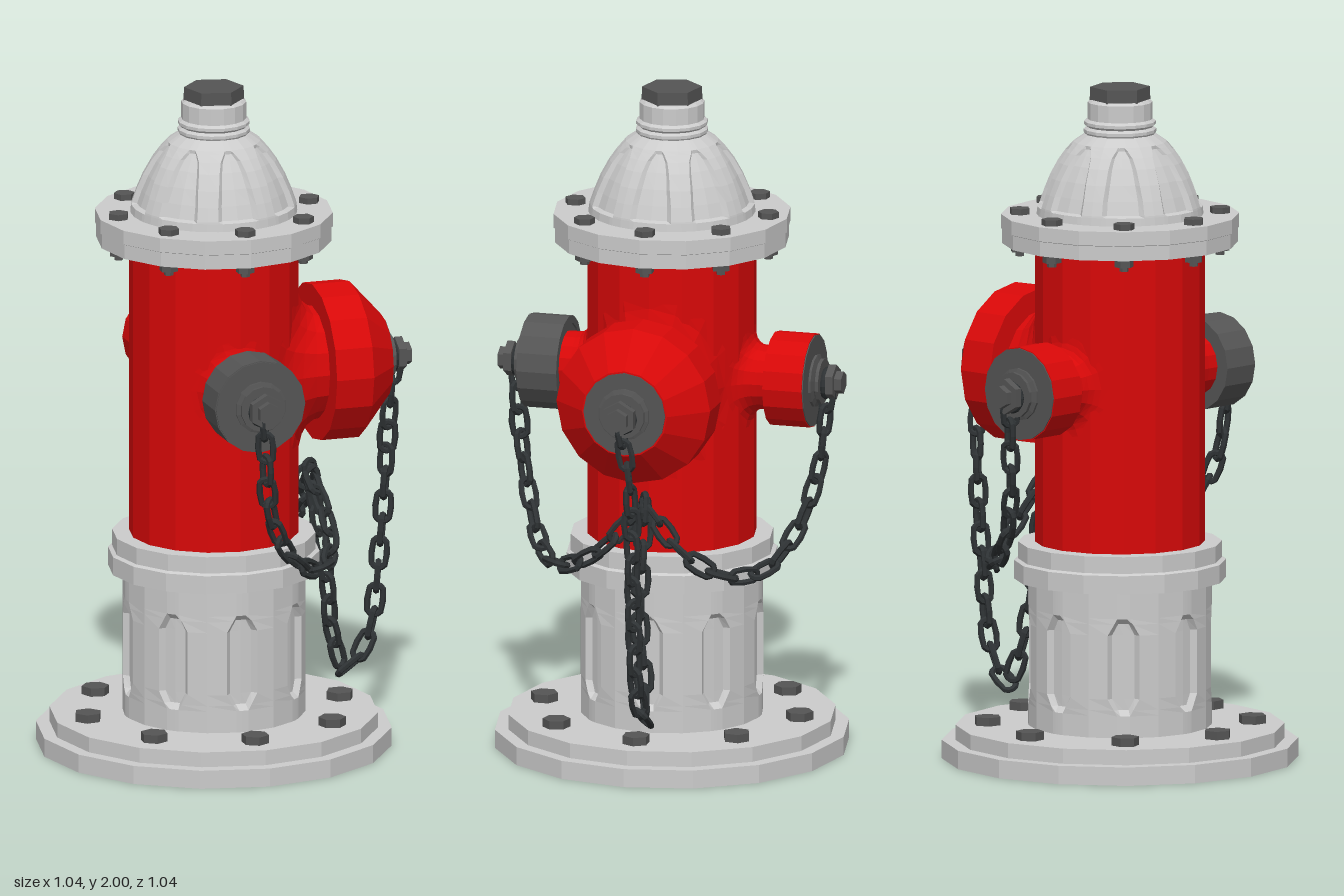
import * as THREE from 'three';
import { ParametricGeometry } from 'three/addons/geometries/ParametricGeometry.js';

const mat = (color, side = THREE.FrontSide) =>
  new THREE.MeshStandardMaterial({ color, flatShading: true, side });
const GREY = mat(0xcccccc), GREY_OPEN = mat(0xcccccc, THREE.DoubleSide);
const RED = mat(0xd80808), IRON = mat(0x555555), CHAIN = mat(0x2e3234);

function add(parent, name, geometry, material, x = 0, y = 0, z = 0) {
  const mesh = new THREE.Mesh(geometry, material);
  mesh.name = name;
  mesh.position.set(x, y, z);
  parent.add(mesh);
  return mesh;
}

// Turned part from [radius, height] points, listed bottom to top
const turned = (points, sides = 16) =>
  new THREE.LatheGeometry(points.map(([r, y]) => new THREE.Vector2(r, y)), sides);

// Round wall with eight sunken panels.
// Rows: [y, radius, panel rim half angle, panel floor half angle, depth], angles in degrees
function panelledWall(rows) {
  const pos = [], index = [], cols = 48;
  for (const [y, r, rim, floor, depth] of rows) {
    for (let i = 0; i <= cols; i++) {
      const k = i % 6;
      const offset = [-22.5, -rim, -floor, 0, floor, rim][k];
      const a = THREE.MathUtils.degToRad(Math.floor(i / 6) * 45 + offset);
      const rad = k >= 2 && k <= 4 ? r - depth : r;
      pos.push(rad * Math.sin(a), y, rad * Math.cos(a));
    }
  }
  for (let j = 0; j < rows.length - 1; j++) {
    for (let i = 0; i < cols; i++) {
      const a = j * (cols + 1) + i, d = a + cols + 1;
      index.push(a, a + 1, d, a + 1, d + 1, d);
    }
  }
  const g = new THREE.BufferGeometry();
  g.setAttribute('position', new THREE.Float32BufferAttribute(pos, 3));
  g.setIndex(index);
  g.computeVertexNormals();
  return g;
}

// Base plate with a wide centre opening and eight small bolt holes
function drilledPlate(outer, inner, thickness) {
  const circle = (Type, r, n, cx = 0, cy = 0) => new Type(Array.from({ length: n }, (_, i) => {
    const a = i * 2 * Math.PI / n;
    return new THREE.Vector2(cx + r * Math.cos(a), cy + r * Math.sin(a));
  }));
  const shape = circle(THREE.Shape, outer, 16);
  shape.holes.push(circle(THREE.Path, inner, 16));
  for (let i = 0; i < 8; i++) {
    const a = i * Math.PI / 4;
    shape.holes.push(circle(THREE.Path, 0.018, 8, 0.39 * Math.cos(a), 0.39 * Math.sin(a)));
  }
  return new THREE.ExtrudeGeometry(shape, { depth: thickness, bevelEnabled: false }).rotateX(-Math.PI / 2);
}

// Ring of eight hexagonal bolts
function boltRing(parent, name, ringRadius, size, y, height) {
  const geo = new THREE.CylinderGeometry(size, size, height, 6);
  for (let i = 0; i < 8; i++) {
    const a = i * Math.PI / 4;
    add(parent, name, geo, IRON, ringRadius * Math.sin(a), y + height / 2, ringRadius * Math.cos(a))
      .rotation.y = a * 1.7;
  }
}

// Saddle fillet from the round body (v = 0) out to a straight neck (v = 1)
function neckFillet(neckRadius, neckStart, spreadX, spreadY) {
  const onBody = x => Math.sqrt(0.247 ** 2 - x * x);
  return new ParametricGeometry((u, v, p) => {
    const c = Math.cos(u * 2 * Math.PI), s = Math.sin(u * 2 * Math.PI), w = 1 - v;
    const mixed = (a, b, d) => w * w * a + 2 * w * v * b + v * v * d;
    p.set(mixed(spreadX, neckRadius, neckRadius) * c, mixed(spreadY, neckRadius, neckRadius) * s,
      mixed(onBody(spreadX * c), onBody(neckRadius * c), neckStart));
  }, 16, 5);
}

// Side outlet along local +z: filleted neck, cap, dark end face, washers and hex nut
function outlet(name, angle, neckRadius, neckStart, neckEnd, spread, cap, capMaterial, capEnd, faceRadius) {
  const g = new THREE.Group();
  g.name = name;
  g.position.y = 1.135;
  g.rotation.y = angle;
  const along = (part, points, material, sides) =>
    add(g, part, turned(points, sides).rotateX(Math.PI / 2), material);
  add(g, 'neckFillet', neckFillet(neckRadius, neckStart, ...spread), RED);
  along('outletNeck', [[neckRadius, neckStart], [neckRadius, neckEnd]], RED);
  along('outletCap', cap, capMaterial);
  along('capFace', [[0, capEnd - 0.01], [faceRadius, capEnd - 0.01], [faceRadius, capEnd + 0.003],
    [0, capEnd + 0.003]], IRON);
  along('capWasher', [[0, capEnd - 0.02], [0.078, capEnd - 0.02], [0.078, capEnd + 0.01],
    [0.06, capEnd + 0.015], [0.068, capEnd + 0.02], [0.068, capEnd + 0.03], [0, capEnd + 0.03]], IRON, 14);
  along('capNutStem', [[0.03, capEnd], [0.03, capEnd + 0.055]], IRON, 10);
  along('capNut', [[0, capEnd + 0.045], [0.053, capEnd + 0.045], [0.053, capEnd + 0.068],
    [0.034, capEnd + 0.068], [0.034, capEnd + 0.09], [0, capEnd + 0.09]], IRON, 6);
  return g;
}

// One stretched chain link, long axis on y
function linkGeometry() {
  const g = new THREE.TorusGeometry(0.023, 0.0095, 6, 12);
  const p = g.attributes.position;
  for (let i = 0; i < p.count; i++) {
    const y = p.getY(i);
    if (Math.abs(y) > 1e-4) p.setY(i, y + Math.sign(y) * 0.022);
  }
  g.computeVertexNormals();
  return g;
}

// Chain of links along a smooth path, each turned a quarter from the last
function chain(name, points) {
  const g = new THREE.Group();
  g.name = name;
  const curve = new THREE.CatmullRomCurve3(points.map(p => new THREE.Vector3(...p)));
  const count = Math.round(curve.getLength() / 0.072);
  const geo = linkGeometry();
  const up = new THREE.Vector3(0, 1, 0);
  const roll = new THREE.Quaternion();
  for (let i = 0; i <= count; i++) {
    const link = add(g, 'chainLink', geo, CHAIN);
    link.position.copy(curve.getPointAt(i / count));
    link.quaternion.setFromUnitVectors(up, curve.getTangentAt(i / count));
    link.quaternion.multiply(roll.setFromAxisAngle(up, (i % 2) * Math.PI / 2 + 0.5));
  }
  return g;
}

export function createModel() {
  const root = new THREE.Group();
  root.name = 'fireHydrant';
  const h = new THREE.Group();
  h.name = 'hydrantAssembly';
  h.rotation.y = 0.645;
  root.add(h);

  // Open two-step base flange
  add(h, 'basePlate', drilledPlate(0.525, 0.269, 0.055), GREY);
  add(h, 'baseStep', turned([[0.269, 0.054], [0.485, 0.054], [0.485, 0.1], [0.269, 0.1]]), GREY);
  boltRing(h, 'baseBolt', 0.39, 0.041, 0.095, 0.03);

  // Lower barrel with hexagonal sunken panels
  add(h, 'lowerBarrel', panelledWall([
    [0, 0.27, 4, 2, 0], [0.165, 0.27, 4, 2, 0], [0.182, 0.27, 6, 3.5, 0.018],
    [0.215, 0.27, 10, 7.5, 0.018], [0.405, 0.27, 10, 7.5, 0.018], [0.438, 0.27, 6, 3.5, 0.018],
    [0.455, 0.27, 4, 2, 0], [0.545, 0.27, 4, 2, 0]]), GREY_OPEN);

  // Collar between barrel and body
  add(h, 'collar', turned([[0, 0.535], [0.312, 0.535], [0.312, 0.59], [0.3, 0.595],
    [0.3, 0.645], [0, 0.645]]), GREY);

  // Upper body
  add(h, 'body', new THREE.CylinderGeometry(0.25, 0.25, 0.92, 16), RED, 0, 1.09, 0);

  // Bonnet flange with bolts above and nuts below
  add(h, 'bonnetFlange', turned([[0, 1.535], [0.347, 1.535], [0.347, 1.578], [0.351, 1.58],
    [0.351, 1.622], [0, 1.622]]), GREY);
  boltRing(h, 'bonnetBolt', 0.295, 0.031, 1.615, 0.025);
  boltRing(h, 'bonnetNut', 0.295, 0.028, 1.51, 0.03);
  boltRing(h, 'bonnetBoltEnd', 0.295, 0.014, 1.497, 0.02);

  // Fluted dome: grooves narrow toward the top
  add(h, 'bonnetDome', panelledWall([
    [1.615, 0.247, 15, 12, 0], [1.645, 0.243, 15, 12, 0], [1.65, 0.242, 15, 12, 0.015],
    [1.69, 0.228, 15, 12, 0.015], [1.735, 0.209, 14, 11, 0.015], [1.78, 0.184, 13, 10, 0.014],
    [1.81, 0.162, 11, 8, 0.012], [1.828, 0.146, 7, 4, 0.009], [1.838, 0.137, 5, 3, 0],
    [1.862, 0.102, 5, 3, 0]]), GREY);

  // Neck rings and operating nut
  add(h, 'bonnetNeck', turned([[0.1, 1.855], [0.107, 1.866], [0.107, 1.875], [0.098, 1.882],
    [0.106, 1.889], [0.106, 1.898], [0.096, 1.905], [0.096, 1.955], [0.088, 1.962], [0, 1.962]]), GREY);
  add(h, 'operatingNut', new THREE.CylinderGeometry(0.088, 0.09, 0.045, 6), IRON, 0, 1.9775, 0)
    .rotation.y = 0.3;

  // Two small hose outlets with hollow-backed caps, and the large pump outlet
  const smallCap = [[0, 0.4], [0.118, 0.4], [0.118, 0.315], [0.14, 0.315], [0.14, 0.435], [0, 0.435]];
  const pumpCap = [[0, 0.305], [0.235, 0.305], [0.235, 0.42], [0.13, 0.515], [0, 0.515]];
  h.add(outlet('frontHoseOutlet', 0, 0.095, 0.285, 0.41, [0.14, 0.155], smallCap, IRON, 0.435, 0.137));
  h.add(outlet('rearHoseOutlet', Math.PI, 0.095, 0.285, 0.41, [0.14, 0.155], smallCap, RED, 0.435, 0.137));
  h.add(outlet('pumpOutlet', Math.PI / 2, 0.167, 0.315, 0.33, [0.22, 0.3], pumpCap, RED, 0.515, 0.125));
  for (const z of [0.33, -0.33]) {
    add(h, 'capGasket', new THREE.CylinderGeometry(0.118, 0.118, 0.02, 16).rotateX(Math.PI / 2), IRON, 0, 1.135, z);
  }

  // Chains from the three caps to a ring below the pump outlet
  for (const s of [1, -1]) {
    h.add(chain(s > 0 ? 'frontChain' : 'rearChain', [[0, 1.09, 0.475], [0.01, 0.97, 0.465],
      [0.02, 0.86, 0.45], [0.08, 0.7, 0.405], [0.185, 0.6, 0.335], [0.28, 0.6, 0.235],
      [0.315, 0.67, 0.12], [0.3, 0.78, 0.02]].map(([x, y, z]) => [x, y, z * s])));
  }
  h.add(chain('pumpChain', [[0.555, 1.09, 0], [0.55, 0.93, -0.025], [0.525, 0.55, -0.03],
    [0.485, 0.27, -0.03], [0.42, 0.185, -0.035], [0.375, 0.29, -0.02], [0.35, 0.47, 0],
    [0.315, 0.7, 0], [0.3, 0.79, 0]]));
  add(h, 'chainRing', new THREE.TorusGeometry(0.034, 0.01, 6, 14), CHAIN, 0.288, 0.785, 0);

  // Chain loops around the cap stems
  for (const [x, z] of [[0, 0.472], [0, -0.472], [0.552, 0]]) {
    add(h, 'stemLoop', new THREE.TorusGeometry(0.04, 0.009, 6, 14), CHAIN, x, 1.13, z)
      .rotation.y = Math.atan2(x, z);
  }
  return root;
}
